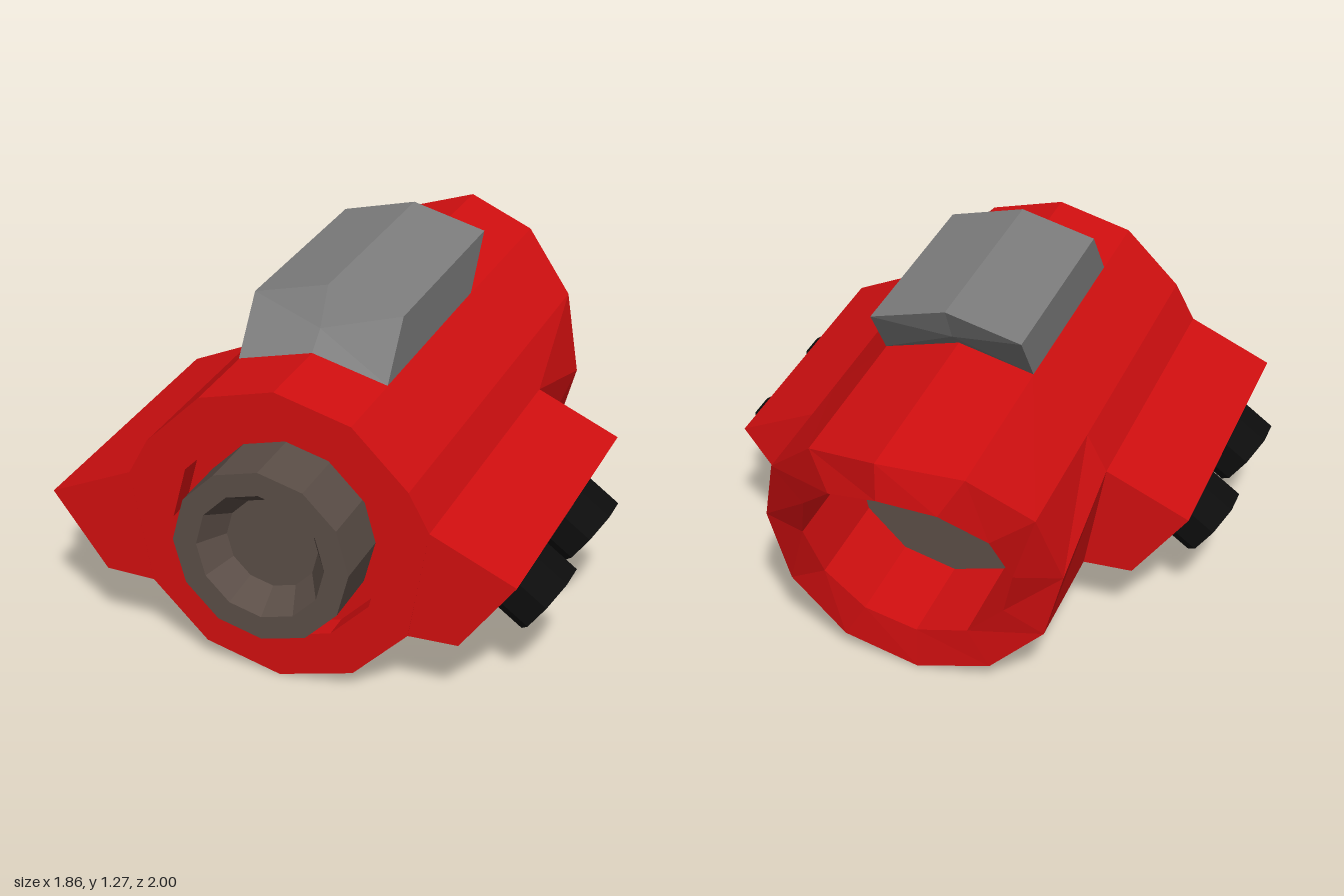
import * as THREE from 'three';

const CY = 0.54; // height of the tube axis

// Regular 12-sided loop around the tube axis, first point at the top
function ring(r, z) {
  return Array.from({ length: 12 }, (_, i) => {
    const a = Math.PI / 2 + (i * Math.PI) / 6;
    return [r * Math.cos(a), CY + r * Math.sin(a), z];
  });
}

// Flat-shaded skin through a chain of closed loops (front to back, outside)
function skin(loops) {
  const pos = [];
  for (let k = 0; k < loops.length - 1; k++) {
    const A = loops[k], B = loops[k + 1], n = A.length;
    for (let i = 0; i < n; i++) {
      const j = (i + 1) % n;
      pos.push(...A[i], ...B[i], ...B[j], ...A[i], ...B[j], ...A[j]);
    }
  }
  const g = new THREE.BufferGeometry();
  g.setAttribute('position', new THREE.Float32BufferAttribute(pos, 3));
  g.computeVertexNormals();
  return g;
}

// Loop whose two side corners are raised to meet the fins
function raisedRing(z) {
  const loop = ring(0.54, z);
  loop[3][1] = loop[9][1] = 0.675;
  return loop;
}

// Loop whose depth follows the swept rear edge, from top to bottom
function sweptRing(r, depths) {
  return ring(r, 0).map(([x, y], i) => [x, y, depths[Math.min(i, 12 - i)]]);
}

export function createModel() {
  const mat = (name, color) => {
    const m = new THREE.MeshStandardMaterial({ color });
    m.name = name;
    return m;
  };
  const red = mat('red', 0xd30f10);
  const grey = mat('grey', 0x7e7e7e);
  const brown = mat('brown', 0x5b4e47);
  const black = mat('black', 0x0d0d0d);

  const model = new THREE.Group();
  const add = (name, geometry, material, parent = model) => {
    const m = new THREE.Mesh(geometry, material);
    m.name = name;
    parent.add(m);
    return m;
  };

  // Housing: front recess, outer shell, swept hood and rear bore
  const hood = sweptRing(0.54, [-1, -0.904, -0.786, -0.7, -0.678, -0.675, -0.675]);
  hood[0][1] = 1.064;
  hood[1][1] = hood[11][1] = 1.0;
  add('housing', skin([
    ring(0.3, 0.77), ring(0.38, 0.77), ring(0.38, 0.865),
    raisedRing(0.865), raisedRing(-0.24), hood,
    sweptRing(0.38, [-1, -0.947, -0.845, -0.754, -0.7, -0.68, -0.675]),
    ring(0.38, -0.3),
  ]), red);

  // Plate at the bottom of the rear bore
  add('rearPlate', skin([ring(0.38, -0.3), ring(0, -0.3)]), brown);

  // Front barrel with a bevelled, closed opening
  add('frontBarrel', skin([
    ring(0, 0.9), ring(0.165, 0.9), ring(0.23, 1), ring(0.315, 1), ring(0.315, 0.76),
  ]), brown);

  // Top block: peaked cross-section, leaning back
  const peaked = (lowY, z) => [
    [0.27, lowY, z], [0, lowY + 0.07, z], [-0.27, lowY, z],
  ];
  const section = (lowZ, highZ) => {
    const top = peaked(1.2, highZ);
    const bottom = peaked(1.01, lowZ).reverse();
    return [...top, ...bottom];
  };
  const front = section(0.555, 0.415);
  const back = section(-0.24, -0.37);
  const centre = (lowZ, highZ) => Array(6).fill([0, 1.14, (lowZ + highZ) / 2]);
  add('topBlock', skin([centre(0.555, 0.415), front, back, centre(-0.24, -0.37)]), grey);

  // Side fins, each with two knobs on the underside
  for (const s of [1, -1]) {
    const fin = new THREE.Group();
    fin.name = s > 0 ? 'leftFin' : 'rightFin';
    model.add(fin);

    const shape = new THREE.Shape(
      [[0.54, 0.675], [0.84, 0.54], [0.645, 0.275], [0.468, 0.27]]
        .map(([x, y]) => new THREE.Vector2(s * x, y)));
    const g = new THREE.ExtrudeGeometry(shape, { depth: 1.105, bevelEnabled: false });
    g.translate(0, 0, -0.24);
    add('finBody', g, red, fin);

    const axis = new THREE.Vector3(s * 0.805, -0.593, 0);
    for (const z of [0.555, 0.08]) {
      const knobGeometry = new THREE.CylinderGeometry(0.138, 0.138, 0.17, 8, 1, false, Math.PI / 8)
        .toNonIndexed();
      knobGeometry.computeVertexNormals();
      const knob = add('knob', knobGeometry, black, fin);
      knob.quaternion.setFromUnitVectors(new THREE.Vector3(0, 1, 0), axis);
      knob.position.set(s * 0.752, 0.4, z).addScaledVector(axis, 0.04);
    }
  }
  return model;
}
